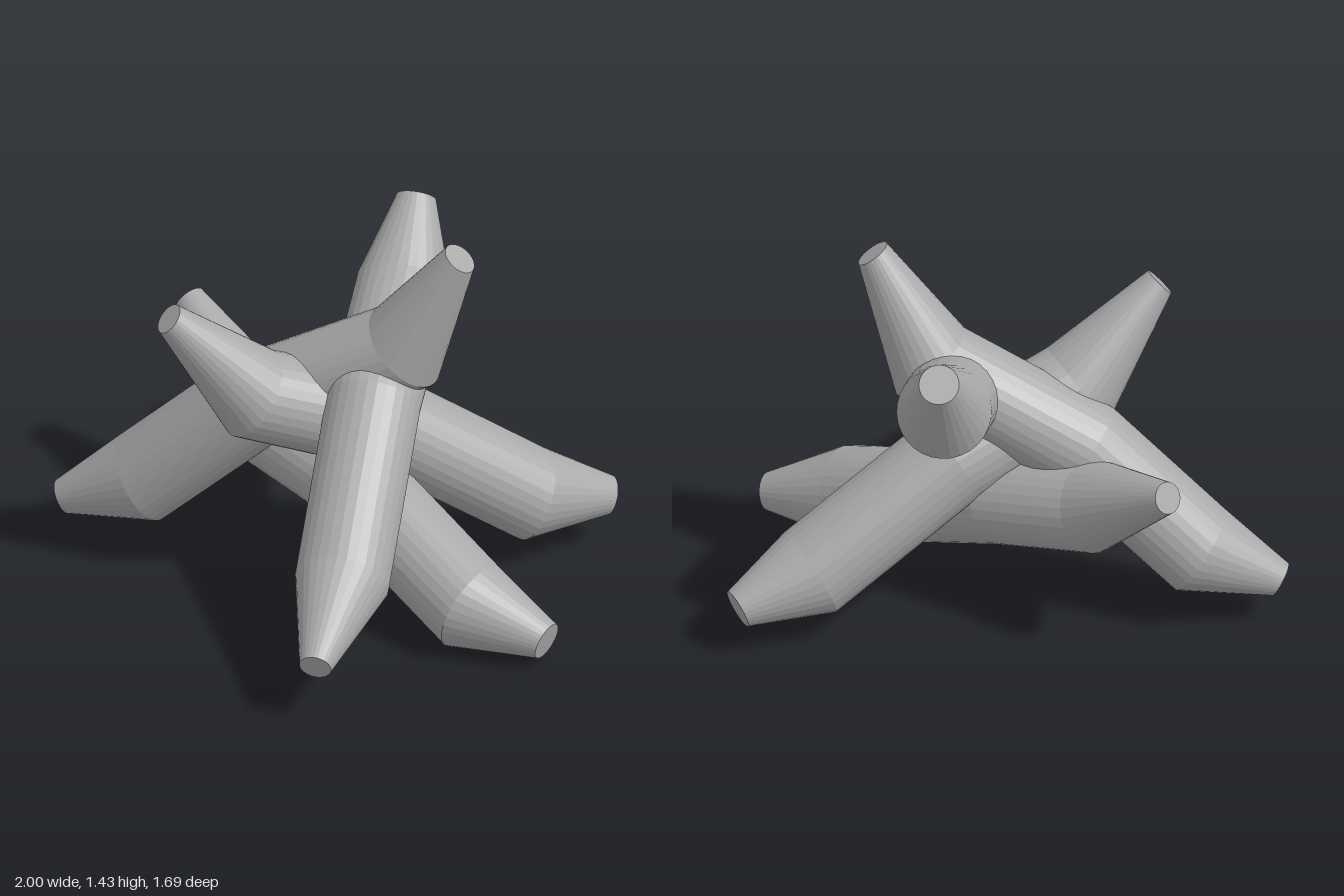
import * as THREE from 'three';

const SIDES = 30;
const V = (p) => new THREE.Vector3(...p);

// Each log: five centres along its length (tip, knee, middle, knee, tip) and both tip radii
const LOGS = [
  { name: 'risingLog', tips: [0.065, 0.063],
    path: [[-0.965, 0.165, -0.375], [-0.68, 0.28, -0.355], [-0.27, 0.67, -0.28], [0.28, 0.98, -0.2], [0.485, 1.395, -0.14]] },
  { name: 'fallingLog', tips: [0.058, 0.072],
    path: [[-0.54, 1.17, 0.02], [-0.25, 0.815, -0.09], [0.2, 0.62, -0.27], [0.71, 0.25, -0.445], [0.97, 0.18, -0.58]] },
  { name: 'frontToBackLog', tips: [0.058, 0.072],
    path: [[0.077, 0.245, 0.825], [0.125, 0.355, 0.41], [0.18, 0.8, -0.1], [0.235, 1.01, -0.59], [0.255, 1.245, -0.79]] },
  { name: 'lowerLog', tips: [0.058, 0.07],
    path: [[-0.56, 0.765, -0.79], [-0.3, 0.53, -0.46], [0.03, 0.44, -0.25], [0.57, 0.17, 0.22], [0.85, 0.11, 0.33]] },
];
const BODY_RADIUS = 0.17;

function logGeometry({ path, tips }) {
  const pts = path.map(V);
  const n = pts.length;
  const segs = pts.slice(1).map((p, i) => p.clone().sub(pts[i]).normalize());
  // Rings face halfway between their neighbouring segments; caps lean a little to the body
  const dirs = pts.map((p, i) => {
    if (i === 0) return segs[0].clone().addScaledVector(segs[1], 0.4).normalize();
    if (i === n - 1) return segs[n - 2].clone().addScaledVector(segs[n - 3], 0.4).normalize();
    return segs[i - 1].clone().add(segs[i]).normalize();
  });
  const u = new THREE.Vector3(0, 1, 0);
  const verts = [];
  const index = [];
  pts.forEach((p, i) => {
    const r = i === 0 ? tips[0] : i === n - 1 ? tips[1] : BODY_RADIUS;
    u.addScaledVector(dirs[i], -u.dot(dirs[i])).normalize(); // carry the frame without twist
    const v = dirs[i].clone().cross(u);
    for (let j = 0; j < SIDES; j++) {
      const a = (j / SIDES) * Math.PI * 2;
      const q = p.clone().addScaledVector(u, r * Math.cos(a)).addScaledVector(v, r * Math.sin(a));
      verts.push(q.x, q.y, q.z);
    }
  });
  // Side faces
  for (let i = 0; i < n - 1; i++) {
    for (let j = 0; j < SIDES; j++) {
      const k = (j + 1) % SIDES;
      const a = i * SIDES + j, b = i * SIDES + k, c = a + SIDES, d = b + SIDES;
      index.push(a, b, d, a, d, c);
    }
  }
  // Flat end caps
  const last = (n - 1) * SIDES;
  for (let j = 1; j < SIDES - 1; j++) {
    index.push(0, j + 1, j, last, last + j, last + j + 1);
  }
  const indexed = new THREE.BufferGeometry();
  indexed.setAttribute('position', new THREE.Float32BufferAttribute(verts, 3));
  indexed.setIndex(index);
  const geo = indexed.toNonIndexed(); // faceted sides
  geo.computeVertexNormals();
  return geo;
}

export function createModel() {
  const group = new THREE.Group();
  group.name = 'logPile';
  const grey = new THREE.MeshStandardMaterial({ color: 0xaaaaaa });
  grey.name = 'grey';
  for (const log of LOGS) {
    const mesh = new THREE.Mesh(logGeometry(log), grey);
    mesh.name = log.name;
    group.add(mesh);
  }
  return group;
}
